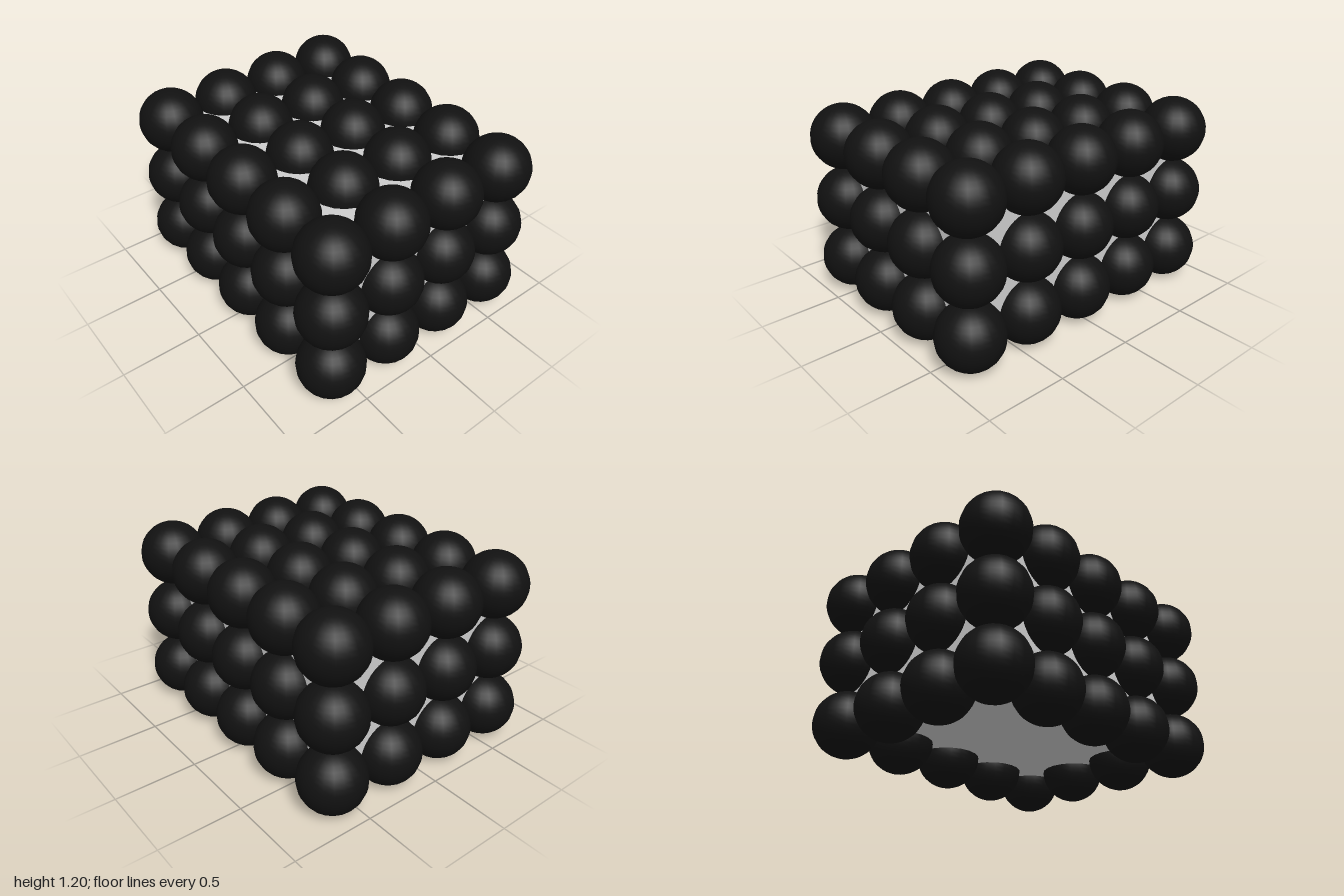
import * as THREE from 'three';

export function createModel() {
  const group = new THREE.Group();
  const grey = new THREE.MeshStandardMaterial({ color: 0xcccccc });
  const black = new THREE.MeshStandardMaterial({ color: 0x111111 });
  const step = 0.4;
  const counts = { x: 5, y: 3, z: 4 };

  // Solid core reaching the centres of the outer balls
  const core = new THREE.Mesh(
    new THREE.BoxGeometry((counts.x - 1) * step, (counts.y - 1) * step, (counts.z - 1) * step),
    grey
  );
  core.name = 'core';
  core.position.y = (counts.y * step) / 2;
  group.add(core);

  // Balls cover the four sides and the top; the underside is left bare
  const balls = new THREE.Group();
  balls.name = 'balls';
  group.add(balls);
  const ballGeometry = new THREE.SphereGeometry(step / 2, 20, 20);
  for (let j = 0; j < counts.y; j++) {
    for (let i = 0; i < counts.x; i++) {
      for (let k = 0; k < counts.z; k++) {
        const onSide = i === 0 || i === counts.x - 1 || k === 0 || k === counts.z - 1;
        const onTop = j === counts.y - 1;
        if (!onSide && !onTop) continue;
        const ball = new THREE.Mesh(ballGeometry, black);
        ball.name = 'ball';
        ball.position.set(
          (i - (counts.x - 1) / 2) * step,
          (j + 0.5) * step,
          (k - (counts.z - 1) / 2) * step
        );
        balls.add(ball);
      }
    }
  }
  return group;
}
